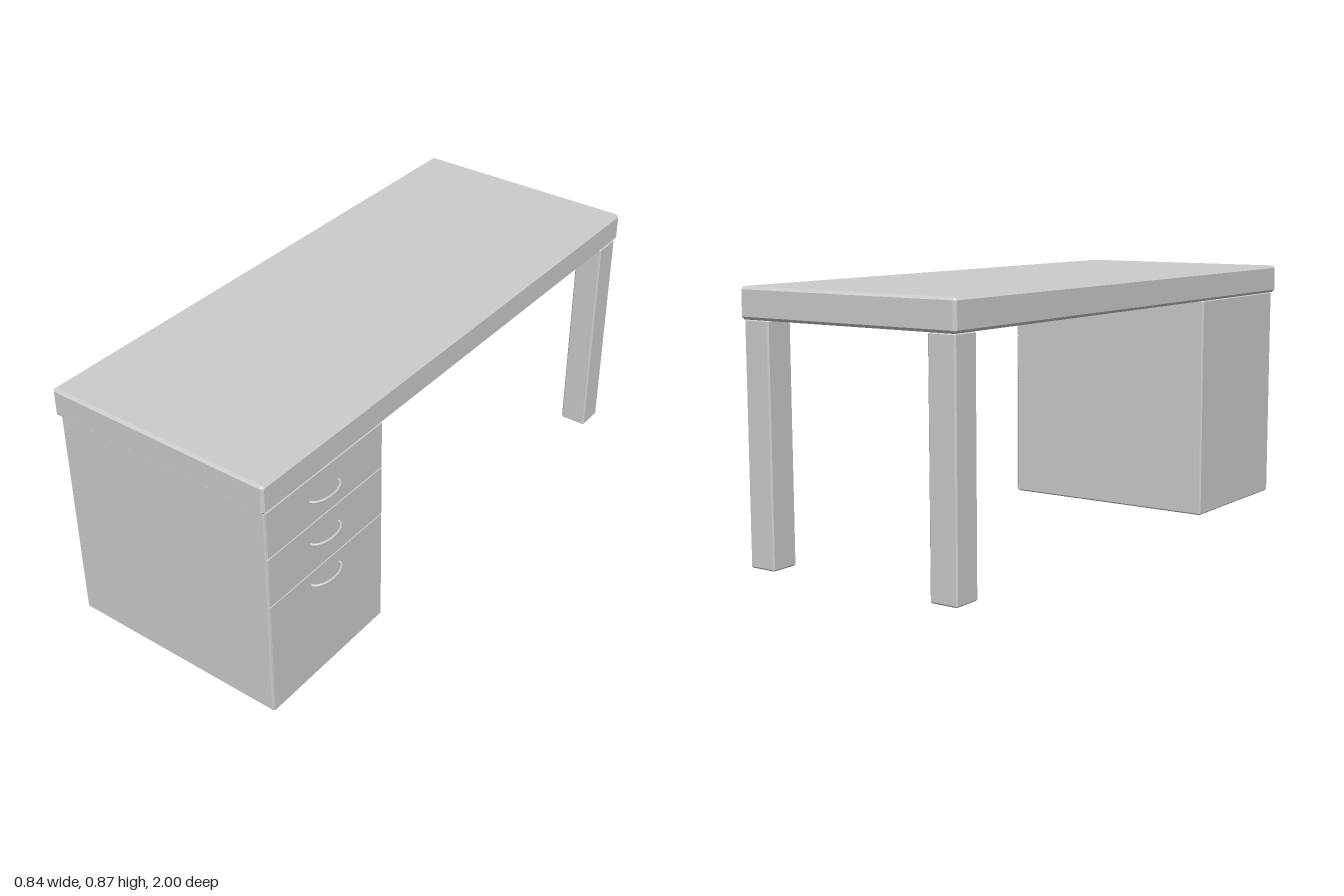
import * as THREE from 'three';
import { ConvexGeometry } from 'three/addons/geometries/ConvexGeometry.js';

const grey = new THREE.MeshStandardMaterial({ color: 0xcccccc });

// Box between two corners with every edge chamfered by c
function chamferBox(name, [x0, y0, z0], [x1, y1, z1], c) {
  const half = [(x1 - x0) / 2, (y1 - y0) / 2, (z1 - z0) / 2];
  const points = [];
  for (const sx of [-1, 1]) for (const sy of [-1, 1]) for (const sz of [-1, 1]) {
    const sign = [sx, sy, sz];
    for (let axis = 0; axis < 3; axis++) {
      points.push(new THREE.Vector3(...half.map((h, i) => sign[i] * (i === axis ? h : h - c))));
    }
  }
  const mesh = new THREE.Mesh(new ConvexGeometry(points), grey);
  mesh.position.set((x0 + x1) / 2, (y0 + y1) / 2, (z0 + z1) / 2);
  mesh.name = name;
  return mesh;
}

// Half-ellipse pull handle, bowed out along +x
class HandleArc extends THREE.Curve {
  getPoint(t, target = new THREE.Vector3()) {
    const a = Math.PI * (t - 0.5);
    return target.set(0.033 * Math.cos(a), 0, 0.067 * Math.sin(a));
  }
}

export function createModel() {
  const desk = new THREE.Group();
  desk.name = 'desk';

  // Table top
  desk.add(chamferBox('tableTop', [-0.422, 0.767, -1], [0.39, 0.867, 1], 0.009));

  // Two square legs at the back
  for (const [name, x] of [['rightLeg', -0.411], ['leftLeg', 0.289]]) {
    desk.add(chamferBox(name, [x, 0, -0.987], [x + 0.097, 0.768, -0.888], 0.005));
  }

  // Drawer cabinet at the front
  desk.add(chamferBox('cabinet', [-0.411, 0, 0.44], [0.382, 0.768, 0.988], 0.005));

  // Drawer fronts and their handles
  const handleGeometry = new THREE.TubeGeometry(new HandleArc(), 24, 0.0045, 10);
  const drawers = [[0.602, 0.766, 0.688], [0.422, 0.599, 0.531], [0.005, 0.419, 0.373]];
  drawers.forEach(([bottom, top, handleY], i) => {
    const drawer = new THREE.Group();
    drawer.name = `drawer${i + 1}`;
    drawer.add(chamferBox('drawerFront', [0.376, bottom, 0.443], [0.386, top, 0.985], 0.001));
    const handle = new THREE.Mesh(handleGeometry, grey);
    handle.position.set(0.385, handleY, 0.727);
    handle.name = 'handle';
    drawer.add(handle);
    desk.add(drawer);
  });

  return desk;
}
